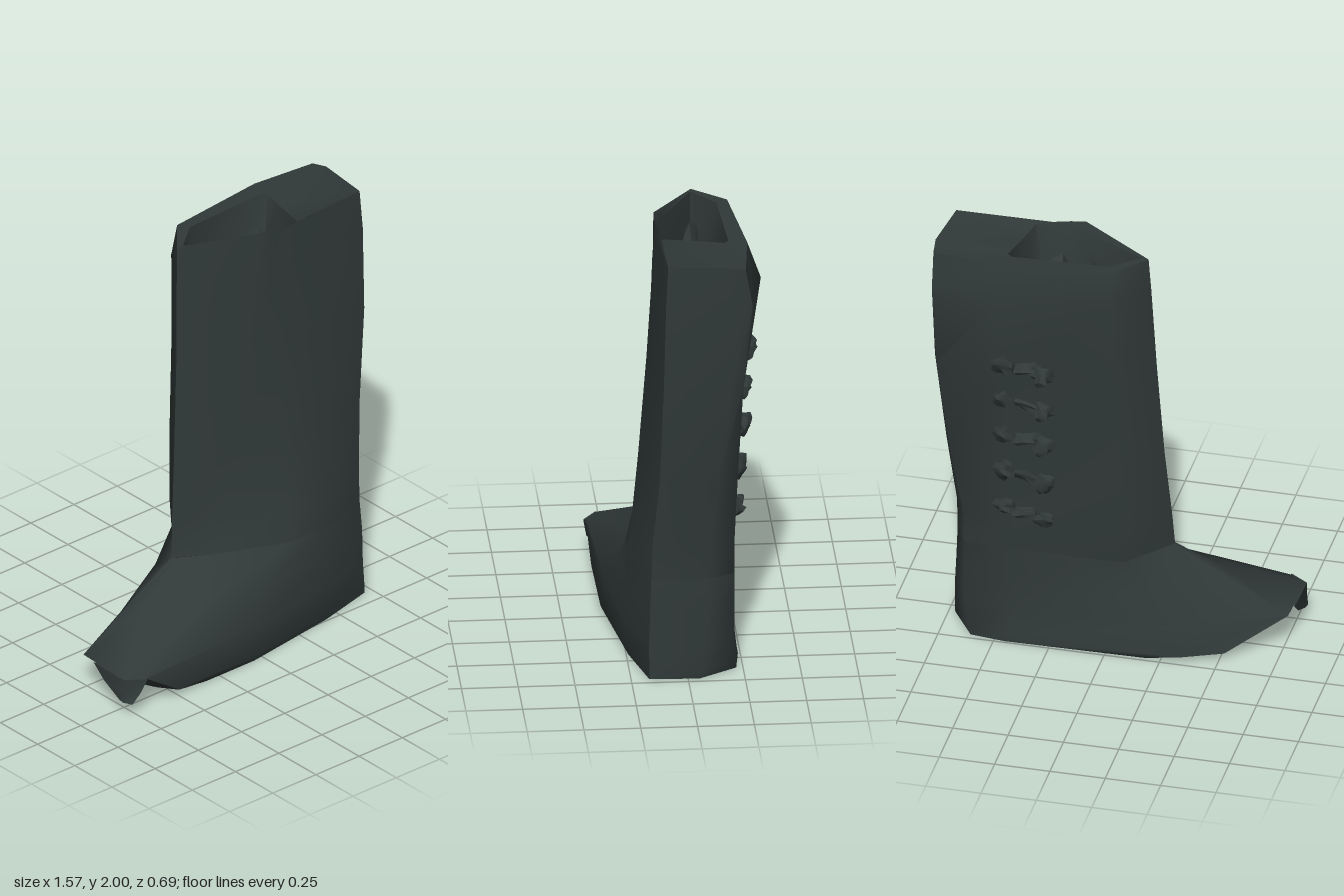
import * as THREE from 'three';
import { toCreasedNormals } from 'three/addons/utils/BufferGeometryUtils.js';

// Skin a stack of rings; each point is [x, y, z], running counter-clockwise from above.
function loft(rings, capStart, capEnd, crease = 1.1) {
  const pos = [];
  const tri = (a, b, c) => pos.push(...a, ...b, ...c);
  const n = rings[0].length;
  for (let i = 0; i < rings.length - 1; i++) {
    const lo = rings[i], hi = rings[i + 1];
    for (let j = 0; j < n; j++) {
      const k = (j + 1) % n;
      tri(lo[j], lo[k], hi[k]);
      tri(lo[j], hi[k], hi[j]);
    }
  }
  const cap = (ring, up) => {
    const c = [0, 1, 2].map(a => ring.reduce((s, p) => s + p[a], 0) / n);
    ring.forEach((p, j) => {
      const q = ring[(j + 1) % n];
      up ? tri(p, q, c) : tri(q, p, c);
    });
  };
  if (capStart) cap(rings[0], false);
  if (capEnd) cap(rings[rings.length - 1], true);
  const g = new THREE.BufferGeometry();
  g.setAttribute('position', new THREE.Float32BufferAttribute(pos, 3));
  return toCreasedNormals(g, crease);
}

// A flat ring of x, z pairs at height y
const level = (y, xz) =>
  Array.from({ length: xz.length / 2 }, (_, i) => [xz[2 * i], y, xz[2 * i + 1]]);

// Crumpled lump: an icosphere pushed in and out by a hash of position
function lump(seed) {
  const g = new THREE.IcosahedronGeometry(1, 1);
  const p = g.attributes.position;
  const v = new THREE.Vector3();
  for (let i = 0; i < p.count; i++) {
    v.fromBufferAttribute(p, i);
    const h = Math.sin(v.x * 7.1 + v.y * 12.7 + v.z * 4.3 + seed * 2.9);
    v.multiplyScalar(0.8 + 0.3 * h);
    p.setXYZ(i, v.x, v.y, v.z);
  }
  return toCreasedNormals(g, 0.8);
}

export function createModel() {
  const boot = new THREE.Group();
  boot.name = 'boot';
  const leather = new THREE.MeshStandardMaterial({ color: 0x303938, side: THREE.DoubleSide });
  leather.name = 'darkLeather';
  const add = (name, geometry, parent = boot) => {
    const m = new THREE.Mesh(geometry, leather);
    m.name = name;
    parent.add(m);
    return m;
  };

  // Foot: sole up to the ankle, toe towards -x, heel cut off at its back corner
  add('foot', loft([
    level(0.005, [-0.30, -0.10, -0.38, 0.20, -0.32, 0.31, -0.05, 0.31, 0.43, 0.24, 0.71, 0.17, 0.72, -0.05, 0.61, -0.22, 0.45, -0.24, -0.18, -0.23]),
    level(0.035, [-0.52, -0.16, -0.56, 0.25, -0.50, 0.33, -0.05, 0.325, 0.43, 0.25, 0.71, 0.17, 0.72, -0.06, 0.62, -0.22, 0.44, -0.235, -0.34, -0.237]),
    level(0.17, [-0.77, 0.00, -0.78, 0.29, -0.70, 0.34, -0.05, 0.31, 0.43, 0.255, 0.70, 0.17, 0.715, -0.08, 0.64, -0.21, 0.42, -0.22, -0.40, -0.18]),
    level(0.33, [-0.50, 0.00, -0.48, 0.07, -0.20, 0.19, 0.05, 0.255, 0.44, 0.25, 0.70, 0.165, 0.705, -0.09, 0.64, -0.21, 0.42, -0.215, -0.19, -0.19]),
    level(0.47, [-0.26, 0.00, -0.25, 0.01, -0.10, 0.10, 0.22, 0.235, 0.44, 0.245, 0.69, 0.16, 0.70, -0.09, 0.64, -0.21, 0.42, -0.215, -0.08, -0.21]),
  ], true, false));

  // Pointed lip hanging from the toe
  add('toeLip', loft([
    level(0.06, [-0.785, 0.26, -0.79, 0.29, -0.77, 0.33, -0.765, 0.28]),
    level(0.11, [-0.78, 0.15, -0.785, 0.29, -0.73, 0.34, -0.73, 0.22]),
    level(0.17, [-0.78, 0.08, -0.785, 0.29, -0.70, 0.35, -0.70, 0.20]),
  ], true, true));

  // Shaft, ending in a rim that folds inwards to a shallow opening
  const rimHeights = [1.965, 2.0, 1.99, 1.975, 1.985, 1.985, 1.97, 1.97, 1.965];
  const rim = level(0, [-0.16, -0.08, 0.17, 0.11, 0.24, 0.11, 0.32, 0.11, 0.75, 0.09, 0.78, -0.17, 0.77, -0.25, 0.46, -0.28, -0.03, -0.23]);
  rim.forEach((p, i) => { p[1] = rimHeights[i]; });
  const lip = level(1.965, [-0.13, -0.075, 0.17, 0.09, 0.24, 0.095, 0.35, 0.10, 0.39, 0.09, 0.42, -0.06, 0.45, -0.18, 0.43, -0.20, 0.00, -0.18]);
  lip[3][1] = 1.93;
  add('shaft', loft([
    level(0.47, [-0.26, 0.00, -0.10, 0.10, 0.22, 0.235, 0.44, 0.245, 0.69, 0.16, 0.70, -0.09, 0.64, -0.21, 0.42, -0.215, -0.08, -0.21]),
    level(0.62, [-0.25, -0.01, -0.03, 0.085, 0.24, 0.205, 0.43, 0.23, 0.69, 0.155, 0.70, -0.10, 0.64, -0.21, 0.42, -0.22, -0.08, -0.225]),
    level(0.95, [-0.22, -0.03, 0.02, 0.09, 0.24, 0.165, 0.40, 0.195, 0.72, 0.125, 0.74, -0.13, 0.70, -0.22, 0.44, -0.235, -0.07, -0.235]),
    level(1.40, [-0.19, -0.05, 0.09, 0.10, 0.24, 0.135, 0.36, 0.155, 0.76, 0.11, 0.78, -0.18, 0.76, -0.24, 0.46, -0.27, -0.05, -0.245]),
    level(1.80, [-0.17, -0.07, 0.15, 0.11, 0.23, 0.12, 0.31, 0.125, 0.76, 0.10, 0.78, -0.19, 0.77, -0.28, 0.46, -0.34, -0.03, -0.27]),
    rim,
    lip,
    level(1.75, [-0.08, -0.07, 0.17, 0.05, 0.24, 0.06, 0.32, 0.07, 0.35, 0.06, 0.38, -0.05, 0.40, -0.14, 0.38, -0.15, 0.04, -0.14]),
  ], false, true));

  // Soft folds of lining inside the opening
  [[0.12, 0.4], [0.28, -0.3]].forEach(([x, turn], i) => {
    const m = add('liningFold', lump(i + 20));
    m.position.set(x, 1.78, -0.05);
    m.scale.set(0.06, 0.13, 0.1);
    m.rotation.y = turn;
  });

  // Worn fastenings down the back of the shaft: height, depth, half height
  const fastenings = new THREE.Group();
  fastenings.name = 'fastenings';
  boot.add(fastenings);
  [[1.44, -0.285, 0.07], [1.25, -0.265, 0.06], [1.07, -0.265, 0.06], [0.87, -0.245, 0.07], [0.68, -0.235, 0.05]]
    .forEach(([y, z, h], row) => {
      [0.27, 0.45].forEach((x, col) => {
        const m = add('fastening', lump(row * 2 + col), fastenings);
        m.position.set(x, y + (col ? 0.02 : -0.02), z);
        m.scale.set(0.055, h * 0.75, 0.05);
      });
      const strap = add('strap', lump(row + 11), fastenings);
      strap.position.set(0.36, y, z + 0.015);
      strap.scale.set(0.1, 0.03, 0.035);
      strap.rotation.z = row % 2 ? 0.2 : -0.2;
    });

  return boot;
}
